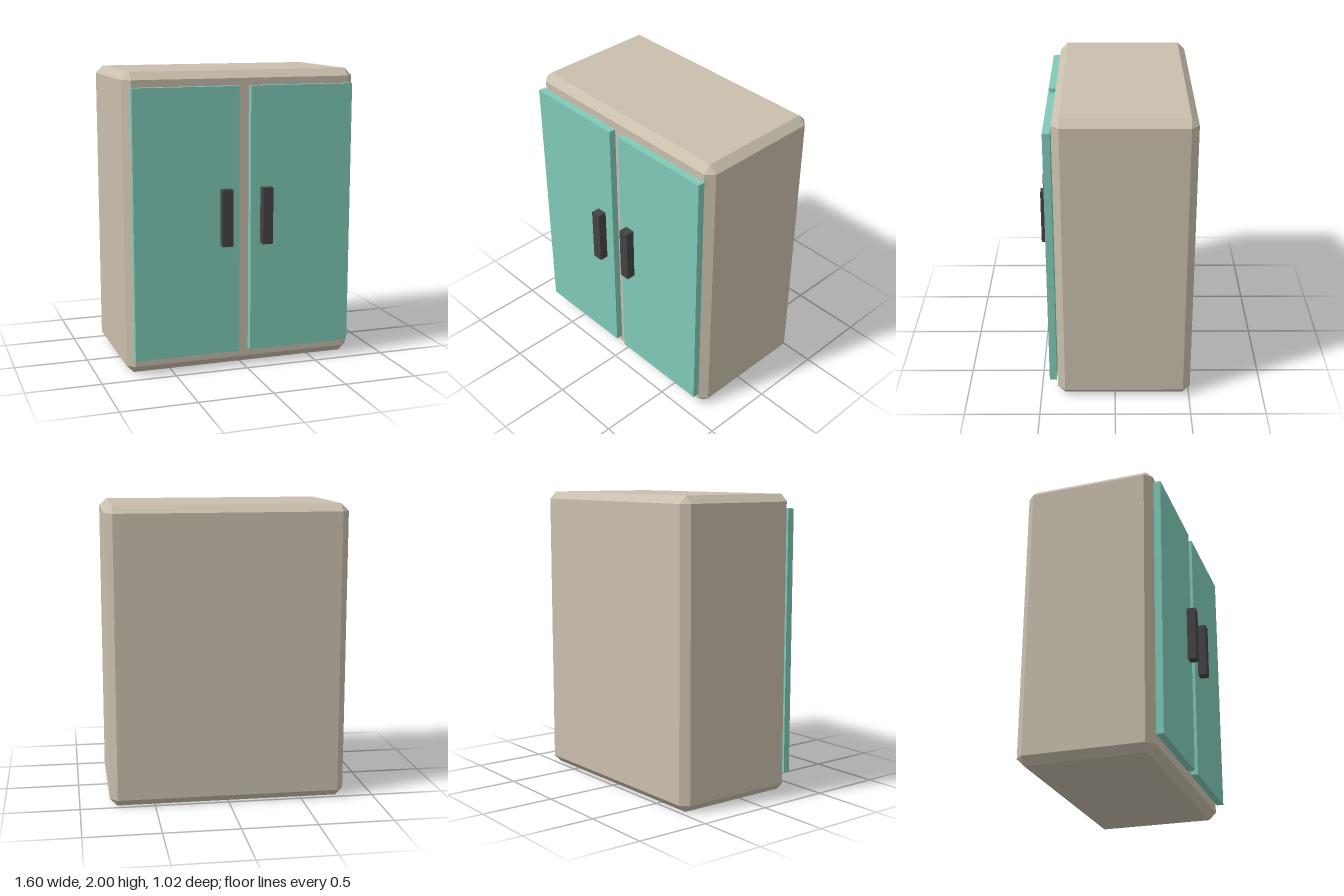
import * as THREE from 'three';
import { ConvexGeometry } from 'three/addons/geometries/ConvexGeometry.js';

const material = (name, color) => {
  const m = new THREE.MeshStandardMaterial({ color });
  m.name = name;
  return m;
};

// Box with 45 degree bevels on every edge: each corner becomes three points
function bevelledBox(w, h, d, bevel) {
  const points = [];
  for (const x of [-1, 1]) for (const y of [-1, 1]) for (const z of [-1, 1]) {
    for (let axis = 0; axis < 3; axis++) {
      const inset = [bevel, bevel, bevel];
      inset[axis] = 0;
      points.push(new THREE.Vector3(
        x * (w / 2 - inset[0]), y * (h / 2 - inset[1]), z * (d / 2 - inset[2])));
    }
  }
  return new ConvexGeometry(points);
}

export function createModel() {
  const group = new THREE.Group();
  group.name = 'cabinet';
  const beige = material('beige', 0xc9bfad);
  const teal = material('teal', 0x80cbb9);
  const charcoal = material('charcoal', 0x444444);

  const add = (name, geometry, mat, x, y, z) => {
    const mesh = new THREE.Mesh(geometry, mat);
    mesh.name = name;
    mesh.position.set(x, y, z);
    group.add(mesh);
  };

  // Bevelled carcass
  add('body', bevelledBox(1.6, 2, 0.897, 0.05), beige, 0, 1, -0.06);

  // Mirrored doors, each with an upright handle near the middle
  const doorGeometry = new THREE.BoxGeometry(0.72, 1.796, 0.048);
  const handleGeometry = new THREE.BoxGeometry(0.07, 0.38, 0.06);
  for (const [side, s] of [['left', 1], ['right', -1]]) {
    add(side + 'Door', doorGeometry, teal, s * 0.4, 1.005, 0.419);
    add(side + 'Handle', handleGeometry, charcoal, s * 0.14, 1.043, 0.479);
  }
  return group;
}
